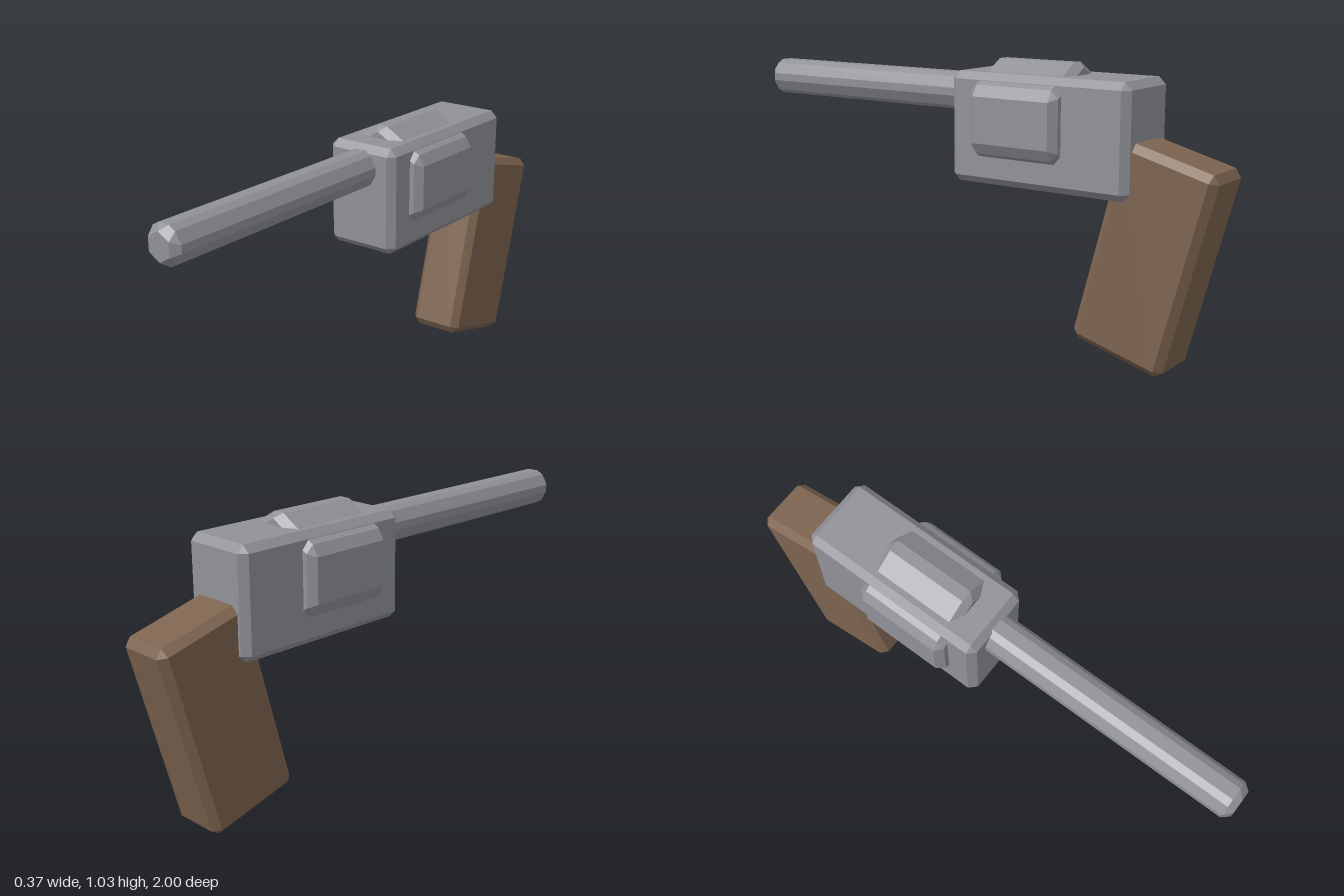
import * as THREE from 'three';
import { ConvexGeometry } from 'three/addons/geometries/ConvexGeometry.js';

const BEVEL = 0.026;

// Prism along z with every edge chamfered; outline is a list of convex [x, y] corners
function bevelledPrism(outline, depth, b = BEVEL) {
  const points = [];
  const n = outline.length;
  outline.forEach((corner, i) => {
    const p = new THREE.Vector2(...corner);
    const toPrev = new THREE.Vector2(...outline[(i + n - 1) % n]).sub(p).normalize();
    const toNext = new THREE.Vector2(...outline[(i + 1) % n]).sub(p).normalize();
    const sine = Math.abs(toPrev.cross(toNext));
    const inset = p.clone().addScaledVector(toPrev, b / sine).addScaledVector(toNext, b / sine);
    const sideA = p.clone().addScaledVector(toPrev, b);
    const sideB = p.clone().addScaledVector(toNext, b);
    for (const s of [-1, 1]) {
      points.push(new THREE.Vector3(inset.x, inset.y, s * depth / 2));
      for (const q of [sideA, sideB]) points.push(new THREE.Vector3(q.x, q.y, s * (depth / 2 - b)));
    }
  });
  return new ConvexGeometry(points);
}

const rectangle = (w, h) => [[-w / 2, -h / 2], [w / 2, -h / 2], [w / 2, h / 2], [-w / 2, h / 2]];

// Hexagon with one corner pointing up
const hexagon = (apothem) => Array.from({ length: 6 }, (_, i) => {
  const a = Math.PI / 2 + i * Math.PI / 3;
  const r = apothem / Math.cos(Math.PI / 6);
  return [Math.cos(a) * r, Math.sin(a) * r];
});

export function createModel() {
  const model = new THREE.Group();
  const metal = new THREE.MeshStandardMaterial({ color: 0x919298 });
  const wood = new THREE.MeshStandardMaterial({ color: 0x7d6450 });
  metal.name = 'grey metal';
  wood.name = 'brown wood';
  metal.flatShading = wood.flatShading = true;

  const add = (name, geometry, material, y, z) => {
    const mesh = new THREE.Mesh(geometry, material);
    mesh.name = name;
    mesh.position.set(0, y, z);
    model.add(mesh);
    return mesh;
  };

  // Main housing
  add('body', bevelledPrism(rectangle(0.286, 0.396), 0.72), metal, 0.788, -0.34);
  // Six-sided drum poking through the top and sides of the housing
  add('drum', bevelledPrism(hexagon(0.187), 0.36), metal, 0.825, -0.267);
  // Long six-sided barrel, its rear end buried in the housing
  add('barrel', bevelledPrism(hexagon(0.07), 1.05), metal, 0.9, 0.475);
  // Handle leaning backwards at the top
  const grip = add('grip', bevelledPrism(rectangle(0.216, 0.734), 0.36), wood, 0.394, -0.738);
  grip.rotation.x = -THREE.MathUtils.degToRad(15);

  return model;
}
